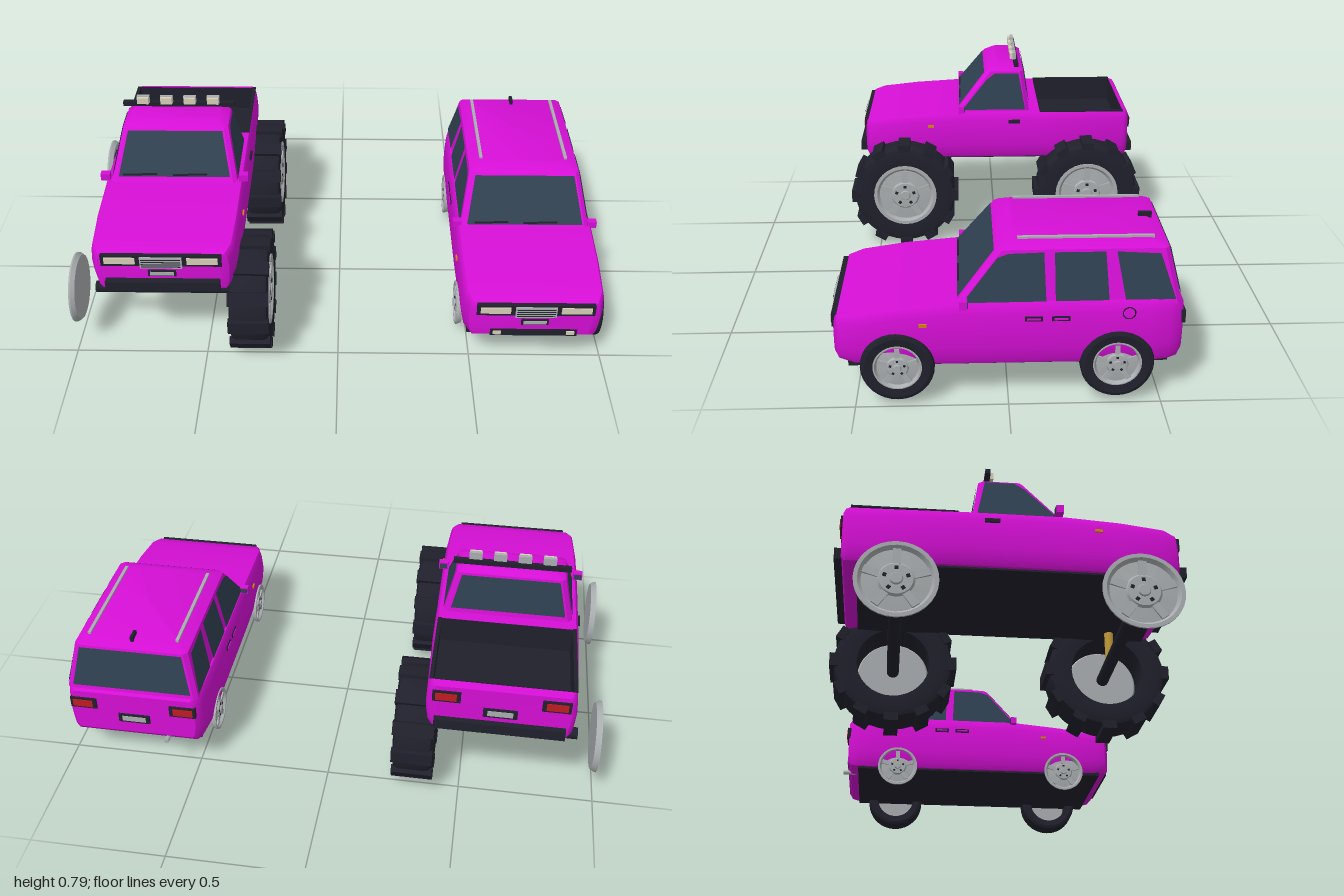
import * as THREE from 'three';
import { toCreasedNormals } from 'three/addons/utils/BufferGeometryUtils.js';

const mat = (name, color, side = THREE.FrontSide) => {
  const m = new THREE.MeshStandardMaterial({ color, side });
  m.name = name;
  return m;
};

export function createModel() {
  const paint = mat('magenta paint', 0xd60fd6);
  const glass = mat('window glass', 0x2f4050, THREE.DoubleSide);
  const rubber = mat('dark rubber', 0x20202c, THREE.DoubleSide);
  const silver = mat('silver metal', 0xaaaeb0, THREE.DoubleSide);
  const lens = mat('lamp lens', 0xd8d0b8);
  const brass = mat('yellow strut', 0xc29a3a);
  const red = mat('red tail lens', 0xc01c24);
  const amber = mat('amber marker', 0xd08018);

  const add = (group, name, geo, material, x = 0, y = 0, z = 0) => {
    const mesh = new THREE.Mesh(geo, material);
    mesh.name = name;
    mesh.position.set(x, y, z);
    group.add(mesh);
    return mesh;
  };
  const box = (g, name, m, w, h, d, x, y, z) => add(g, name, new THREE.BoxGeometry(w, h, d), m, x, y, z);

  // Skin over a list of rings, capped at both ends
  const loft = (rings) => {
    const n = rings[0].length, idx = [];
    for (let i = 0; i < rings.length - 1; i++) {
      for (let j = 0; j < n; j++) {
        const k = (j + 1) % n, a = i * n, b = a + n;
        idx.push(a + j, b + j, b + k, a + j, b + k, a + k);
      }
    }
    const e = (rings.length - 1) * n;
    for (let j = 1; j < n - 1; j++) idx.push(0, j, j + 1, e, e + j + 1, e + j);
    const geo = new THREE.BufferGeometry();
    geo.setAttribute('position', new THREE.Float32BufferAttribute(rings.flat(2), 3));
    geo.setIndex(idx);
    return toCreasedNormals(geo, 0.6);
  };

  // Flat convex panel from corner points
  const plate = (g, name, m, pts) => {
    const geo = new THREE.BufferGeometry();
    geo.setAttribute('position', new THREE.Float32BufferAttribute(pts.flat(), 3));
    const idx = [];
    for (let j = 1; j < pts.length - 1; j++) idx.push(0, j, j + 1);
    geo.setIndex(idx);
    add(g, name, geo.toNonIndexed(), m).geometry.computeVertexNormals();
  };

  // Body cross-section; floor below top makes an open bed
  const bodyRing = ([z, w, yb, yt, floor = yt]) => {
    const h = yt - yb;
    const half = [[0.93, 0], [0.97, 0.1], [0.99, 0.3], [1, 0.55], [0.985, 0.83], [0.965, 0.95], [0.94, 1]]
      .map(([fx, fy]) => [fx * w, yb + fy * h, z]);
    half.push([0.93 * w, floor, z]);
    return [...half, ...half.slice().reverse().map(([x, y]) => [-x, y, z])];
  };

  // Cab: levels run from roof to belt line as [y, half width, front z, rear z]
  const cabRing = ([y, w, f, r]) => {
    const c = 0.015;
    return [[w, f - c], [w, r + c], [w - c, r], [c - w, r], [-w, r + c], [-w, f - c], [c - w, f], [w - c, f]]
      .map(([x, z]) => [x, y, z]);
  };
  const addCab = (g, levels, sideWindows, pane) => {
    add(g, 'cab', loft(levels.map(cabRing)), paint);
    const [y1, w1, f1, r1] = levels[1], [y0, w0, f0, r0] = levels[2];
    const at = (a, b, y) => a + (b - a) * (y - y0) / (y1 - y0);
    for (const s of [1, -1]) {
      sideWindows.forEach((pts) => plate(g, 'sideWindow', glass,
        pts.map(([z, y]) => [s * (at(w0, w1, y) + 0.004), y, z])));
    }
    const [lo, hi] = pane;
    const cross = (a, b, dz, k) => [[-1, lo], [1, lo], [1, hi], [-1, hi]]
      .map(([s, y]) => [s * (at(w0, w1, y) - k), y, at(a, b, y) + dz]);
    plate(g, 'windshield', glass, cross(f0, f1, 0.005, 0.022));
    plate(g, 'rearWindow', glass, cross(r0, r1, -0.004, 0.022));
    for (const x of [-0.13, 0.06]) {
      box(g, 'wiper', rubber, 0.13, 0.005, 0.006, x, lo + 0.008, at(f0, f1, lo + 0.008) + 0.008).rotation.z = 0.04;
    }
  };

  // Lamps, grille, mirrors and other trim; y is the lift of the body
  const addTrim = (g, y, nose, tail) => {
    box(g, 'headlightBand', rubber, 0.43, 0.046, 0.03, 0, y + 0.288, nose - 0.012);
    box(g, 'grille', silver, 0.15, 0.046, 0.02, 0, y + 0.283, nose);
    for (let i = 0; i < 4; i++) box(g, 'grilleSlat', rubber, 0.14, 0.003, 0.004, 0, y + 0.268 + i * 0.01, nose + 0.01);
    box(g, 'frontPlateFrame', rubber, 0.1, 0.024, 0.008, 0, y + 0.233, nose + 0.001);
    box(g, 'frontPlate', silver, 0.085, 0.016, 0.008, 0, y + 0.233, nose + 0.003);
    box(g, 'rearPlateFrame', rubber, 0.12, 0.036, 0.008, 0, y + 0.24, tail - 0.001);
    box(g, 'rearPlate', silver, 0.09, 0.022, 0.008, 0, y + 0.24, tail - 0.003);
    for (const s of [1, -1]) {
      box(g, 'headlight', lens, 0.11, 0.026, 0.02, s * 0.147, y + 0.29, nose - 0.002);
      box(g, 'tailLightHousing', rubber, 0.1, 0.045, 0.02, s * 0.19, y + 0.295, tail + 0.005);
      box(g, 'tailLight', red, 0.075, 0.03, 0.02, s * 0.192, y + 0.295, tail + 0.002);
      box(g, 'markerLight', amber, 0.008, 0.01, 0.025, s * 0.268, y + 0.292, 0.275);
      box(g, 'mirror', paint, 0.035, 0.028, 0.025, s * 0.262, y + 0.365, 0.145);
      box(g, 'mirrorGlass', glass, 0.028, 0.02, 0.004, s * 0.262, y + 0.365, 0.132);
    }
  };

  const lathe = (pts, seg) => toCreasedNormals(
    new THREE.LatheGeometry(pts.map(([x, y]) => new THREE.Vector2(x, y)), seg).rotateZ(-Math.PI / 2), 0.5);

  // Wheel disc facing +x
  const rim = (R) => {
    const g = new THREE.Group();
    g.name = 'wheelRim';
    add(g, 'rimDish', lathe([[0, -0.015], [0.93 * R, -0.015], [R, 0], [R, 0.006], [0.9 * R, 0.006],
      [0.82 * R, -0.006], [0.45 * R, -0.002], [0.4 * R, 0.005], [0, 0.005]], 32), silver);
    add(g, 'hubCap', lathe([[0.17 * R, 0.004], [0.14 * R, 0.01], [0, 0.01]], 16), silver);
    for (let i = 0; i < 5; i++) {
      const spoke = new THREE.Group();
      spoke.rotation.x = i * Math.PI * 0.4;
      box(spoke, 'wheelNut', rubber, 0.004, 0.09 * R, 0.09 * R, 0.005, 0.29 * R, 0);
      box(spoke, 'spoke', silver, 0.008, 0.4 * R, 0.2 * R, -0.002, 0.62 * R, 0);
      g.add(spoke);
    }
    return g;
  };
  // Tyre around the x axis, w is the half width
  const tyre = (r, inner, w) => lathe([[inner, -w * 0.9], [r * 0.88, -w], [r * 0.97, -w * 0.9], [r, -w * 0.7],
    [r, w * 0.7], [r * 0.97, w * 0.9], [r * 0.88, w], [inner, w * 0.9], [inner, -w * 0.9]], 32);

  // Station wagon
  const wagon = new THREE.Group();
  wagon.name = 'wagon';
  wagon.position.x = 0.722;
  add(wagon, 'body', loft([[0.565, 0.215, 0.17, 0.3], [0.55, 0.24, 0.155, 0.313], [0.5, 0.26, 0.147, 0.325],
    [0.35, 0.267, 0.143, 0.345], [0.15, 0.27, 0.142, 0.362], [-0.45, 0.27, 0.142, 0.365], [-0.52, 0.262, 0.145, 0.365],
    [-0.55, 0.25, 0.15, 0.36], [-0.565, 0.235, 0.17, 0.345]].map(bodyRing)), paint);
  box(wagon, 'underside', rubber, 0.48, 0.016, 1.04, 0, 0.143, 0);
  addCab(wagon, [[0.547, 0.175, -0.01, -0.47], [0.527, 0.213, 0.035, -0.515], [0.35, 0.25, 0.175, -0.557]], [
    [[0.148, 0.362], [0.035, 0.505], [0.0, 0.517], [-0.113, 0.52], [-0.12, 0.362]],
    [[-0.15, 0.362], [-0.147, 0.52], [-0.31, 0.52], [-0.322, 0.362]],
    [[-0.375, 0.362], [-0.345, 0.52], [-0.485, 0.512], [-0.535, 0.365]],
  ], [0.37, 0.52]);
  addTrim(wagon, 0, 0.567, -0.567);
  box(wagon, 'lowerIntake', rubber, 0.32, 0.03, 0.016, 0, 0.18, 0.56);
  box(wagon, 'antenna', rubber, 0.012, 0.02, 0.045, 0, 0.552, -0.465);
  add(wagon, 'exhaust', new THREE.CylinderGeometry(0.009, 0.009, 0.08, 12).rotateX(Math.PI / 2), silver, -0.12, 0.155, -0.545);
  for (const s of [1, -1]) {
    box(wagon, 'fogLamp', lens, 0.03, 0.016, 0.016, s * 0.135, 0.18, 0.563);
    box(wagon, 'roofRail', silver, 0.012, 0.012, 0.44, s * 0.166, 0.548, -0.25);
    for (const z of [-0.08, -0.167]) {
      box(wagon, 'doorHandleRecess', rubber, 0.006, 0.016, 0.058, s * 0.267, 0.31, z);
      box(wagon, 'doorHandle', paint, 0.012, 0.006, 0.045, s * 0.267, 0.31, z);
    }
    for (const z of [0.36, -0.353]) {
      const r = rim(0.083);
      r.position.set(s * 0.266, 0.14, z);
      r.rotation.y = s > 0 ? 0 : Math.PI;
      wagon.add(r);
      if (s > 0) add(wagon, 'tyre', tyre(0.121, 0.08, 0.044), rubber, 0.234, 0.142, z);
    }
  }
  add(wagon, 'fuelCap', new THREE.TorusGeometry(0.02, 0.002, 6, 24).rotateY(Math.PI / 2), rubber, 0.267, 0.325, -0.385);

  // Lifted pickup
  const truck = new THREE.Group();
  truck.name = 'liftedPickup';
  truck.position.x = -0.625;
  add(truck, 'body', loft([[0.555, 0.215, 0.375, 0.512], [0.543, 0.24, 0.362, 0.522], [0.5, 0.26, 0.358, 0.533],
    [0.35, 0.268, 0.357, 0.547], [0.16, 0.27, 0.357, 0.558], [-0.19, 0.27, 0.357, 0.558], [-0.19, 0.27, 0.357, 0.558, 0.455],
    [-0.548, 0.262, 0.357, 0.558, 0.455], [-0.548, 0.262, 0.357, 0.558], [-0.562, 0.255, 0.36, 0.555],
    [-0.57, 0.245, 0.375, 0.545]].map(bodyRing)), paint);
  box(truck, 'underside', rubber, 0.48, 0.016, 1.04, 0, 0.358, 0);
  addCab(truck, [[0.742, 0.17, 0.0, -0.1], [0.722, 0.2, 0.035, -0.122], [0.55, 0.24, 0.172, -0.147]],
    [[[0.14, 0.565], [0.035, 0.69], [0.0, 0.715], [-0.1, 0.715], [-0.128, 0.565]]], [0.578, 0.715]);
  addTrim(truck, 0.21, 0.557, -0.572);

  // Bed lining
  const W = 0.243, Y0 = 0.458, Y1 = 0.559, ZF = -0.193, ZR = -0.545;
  plate(truck, 'bedFloor', rubber, [[-W, Y0, ZR], [-W, Y0, ZF], [W, Y0, ZF], [W, Y0, ZR]]);
  for (const s of [1, -1]) {
    const z = s > 0 ? ZF : ZR;
    plate(truck, 'bedSideLining', rubber, [[s * W, Y0, ZF], [s * W, Y0, ZR], [s * W, Y1, ZR], [s * W, Y1, ZF]]);
    plate(truck, 'bedEndLining', rubber, [[-W, Y0, z], [W, Y0, z], [W, Y1, z], [-W, Y1, z]]);
    box(truck, 'bedRail', rubber, 0.014, 0.006, 0.355, s * 0.248, 0.559, -0.369);
    box(truck, 'doorHandle', rubber, 0.012, 0.014, 0.05, s * 0.267, 0.52, -0.08);
  }

  // Bumpers and roof lamps
  box(truck, 'frontBumper', rubber, 0.41, 0.038, 0.035, 0, 0.397, 0.563);
  box(truck, 'rearBumper', rubber, 0.46, 0.04, 0.035, 0, 0.39, -0.575);
  box(truck, 'lightBar', rubber, 0.43, 0.018, 0.018, 0, 0.755, -0.09);
  for (const x of [-0.135, -0.045, 0.045, 0.135]) {
    box(truck, 'lampHousing', silver, 0.048, 0.03, 0.014, x, 0.777, -0.084);
    box(truck, 'roofLamp', lens, 0.044, 0.026, 0.014, x, 0.777, -0.073);
  }

  // Axles, struts and big wheels
  for (const z of [0.388, -0.388]) {
    add(truck, 'axle', new THREE.CylinderGeometry(0.022, 0.022, 0.62, 16).rotateZ(Math.PI / 2), rubber, 0.015, 0.23, z);
    add(truck, 'tyre', tyre(0.212, 0.13, 0.073), rubber, 0.3, 0.227, z);
    for (let i = 0; i < 12; i++) {
      const a = i * Math.PI / 6;
      box(truck, 'treadBlock', rubber, 0.15, 0.03, 0.05, 0.3, 0.227 + 0.211 * Math.cos(a), z + 0.211 * Math.sin(a)).rotation.x = a;
    }
    for (const s of [1, -1]) {
      add(truck, 'strut', new THREE.CylinderGeometry(0.016, 0.016, 0.11, 16), brass, s * 0.178, 0.305, z);
      const r = rim(0.133);
      r.position.set(s * 0.365, 0.227, z);
      r.rotation.y = s > 0 ? 0 : Math.PI;
      truck.add(r);
    }
  }

  const model = new THREE.Group();
  model.name = 'vehiclePair';
  model.add(wagon, truck);
  return model;
}
